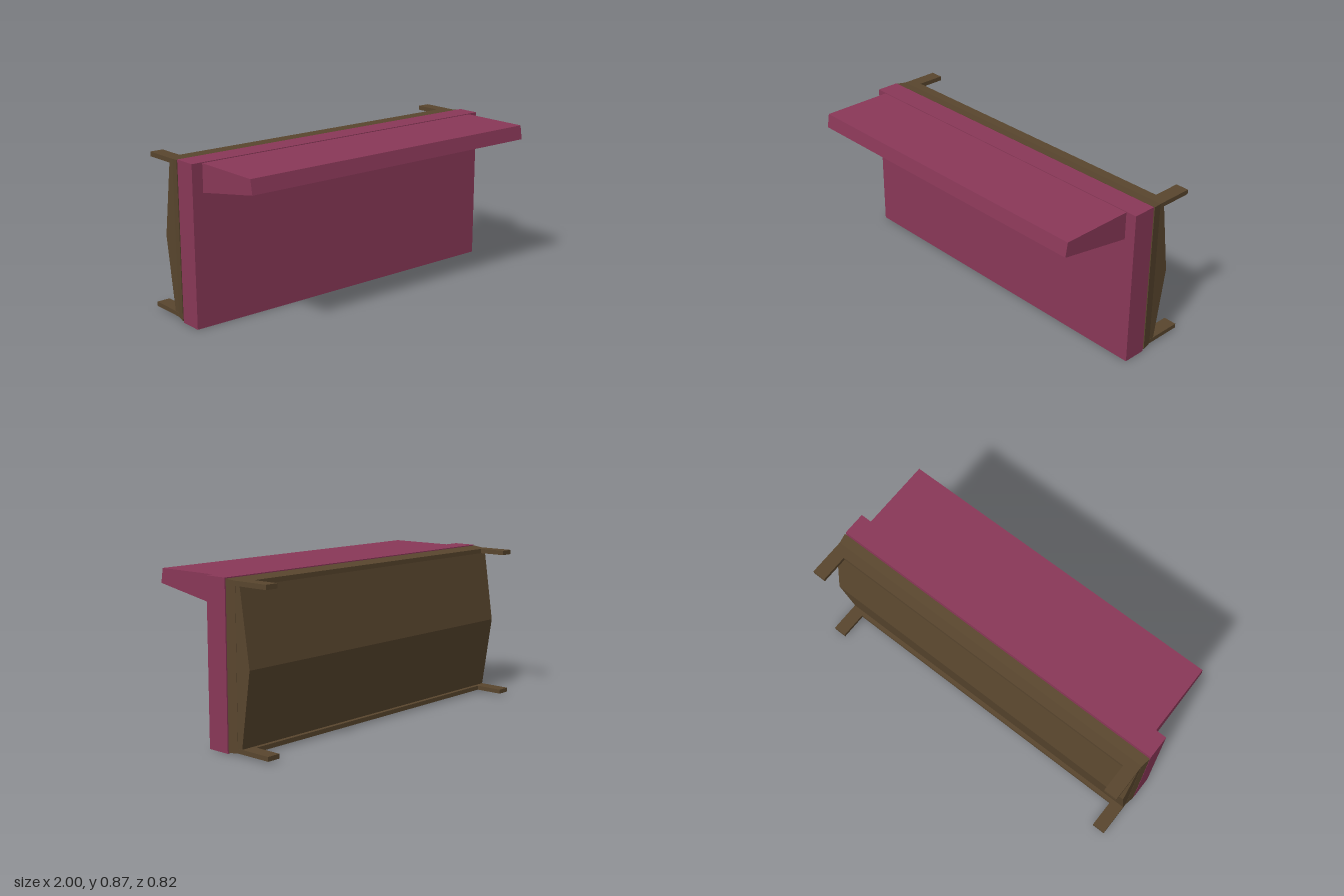
import * as THREE from 'three';

const plum = new THREE.MeshStandardMaterial({ color: 0x8a3858 });
plum.name = 'plum';
const brown = new THREE.MeshStandardMaterial({ color: 0x59462e });
brown.name = 'dark brown';

const shapeOf = (points) => new THREE.Shape(points.map(([a, b]) => new THREE.Vector2(a, b)));

// Side profile of [z, y] points, extruded across x and centred
function profile(points, width) {
  const geo = new THREE.ExtrudeGeometry(shapeOf(points), { depth: width, bevelEnabled: false });
  return geo.rotateY(-Math.PI / 2).translate(width / 2, 0, 0);
}

// Plan outline of [x, -z] points, extruded upwards from y
function plate(points, y, height) {
  const geo = new THREE.ExtrudeGeometry(shapeOf(points), { depth: height, bevelEnabled: false });
  return geo.rotateX(-Math.PI / 2).translate(0, y, 0);
}

export function createModel() {
  const group = new THREE.Group();
  const add = (name, geo, material) => {
    const mesh = new THREE.Mesh(geo, material);
    mesh.name = name;
    group.add(mesh);
  };

  // Upright front slab
  add('frontPanel', new THREE.BoxGeometry(2, 0.87, 0.131).translate(0, 0.438, -0.072), plum);

  // Tapered ledge projecting from the top of the slab
  add('ledge', profile([[-0.02, 0.715], [0.413, 0.79], [0.4, 0.868], [-0.02, 0.869]], 1.876), plum);

  // Backing frame, slightly narrower towards the back
  const frame = new THREE.BoxGeometry(2, 0.86, 0.055);
  const pos = frame.attributes.position;
  for (let i = 0; i < pos.count; i++) {
    if (pos.getZ(i) < 0) {
      pos.setX(i, pos.getX(i) * 0.99);
      pos.setY(i, pos.getY(i) * 0.986);
    }
  }
  frame.computeVertexNormals();
  add('backFrame', frame.translate(0, 0.439, -0.1725), brown);

  // Back cover with a horizontal ridge
  add('backCover', profile([[-0.19, 0.039], [-0.19, 0.838], [-0.23, 0.838], [-0.29, 0.439], [-0.23, 0.039]], 1.978), brown);

  // Top and bottom flanges with a prong at each end
  const outline = [
    [-0.99, 0.19], [0.99, 0.19], [0.99, 0.411], [0.915, 0.411],
    [0.915, 0.253], [-0.915, 0.253], [-0.915, 0.411], [-0.99, 0.411],
  ];
  add('topFlange', plate(outline, 0.838, 0.025), brown);
  add('bottomFlange', plate(outline, 0.015, 0.024), brown);

  return group;
}
